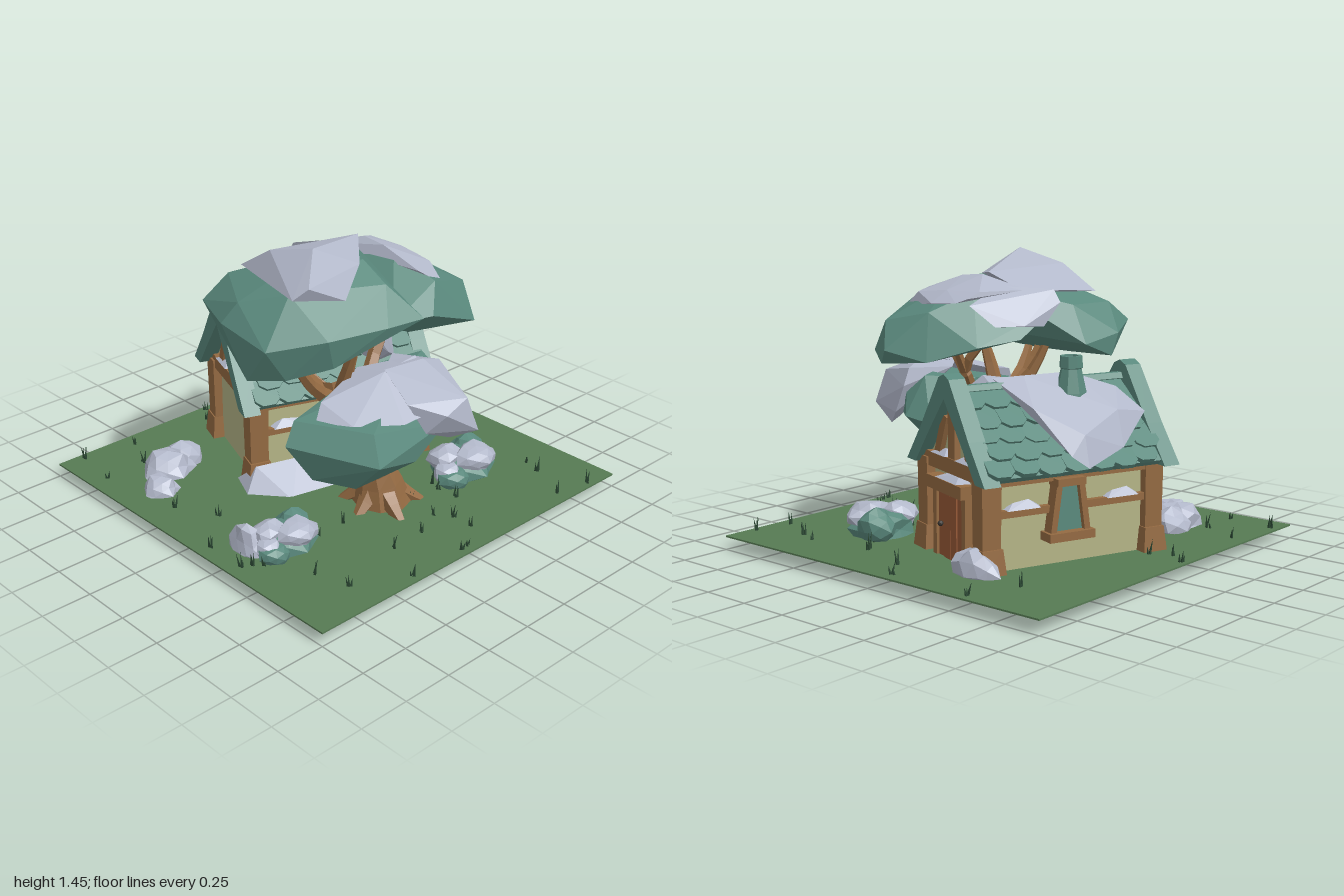
import * as THREE from 'three';
import { ConvexGeometry } from 'three/addons/geometries/ConvexGeometry.js';

const mat = (name, color) => Object.assign(new THREE.MeshStandardMaterial({ color }), { name });
const M = {
  grass: mat('meadow', 0x567a53), blade: mat('dark grass', 0x2a4632), leaf: mat('teal green', 0x5a897d),
  snow: mat('snow', 0xb3b9cb), wood: mat('timber', 0x946a42), door: mat('red brown door', 0x965836),
  wall: mat('plaster', 0xb4b486), iron: mat('dark iron', 0x3a3632),
};
const V = (p) => new THREE.Vector3(...p);
const shape = (pts) => new THREE.Shape(pts.map((p) => new THREE.Vector2(...p)));
const extrude = (pts, depth) => new THREE.ExtrudeGeometry(shape(pts), { depth, bevelEnabled: false });
let seed = 7;
const rnd = () => (seed = (seed * 16807) % 2147483647) / 2147483647;

// adds a faceted mesh
function add(parent, name, geo, material, pos = [0, 0, 0], rot = [0, 0, 0]) {
  const g = geo.index ? geo.toNonIndexed() : geo;
  g.computeVertexNormals();
  const m = new THREE.Mesh(g, material);
  m.name = name;
  m.position.set(...pos);
  m.rotation.set(...rot);
  parent.add(m);
}
const box = (parent, name, material, size, pos, rot) =>
  add(parent, name, new THREE.BoxGeometry(...size), material, pos, rot);
const hull = (parent, name, material, pts) => add(parent, name, new ConvexGeometry(pts.map(V)), material);

// square tapered block
function taper(parent, name, material, top, bottom, h, pos) {
  const g = new THREE.CylinderGeometry(top * 0.707, bottom * 0.707, h, 4);
  g.rotateY(Math.PI / 4);
  add(parent, name, g, material, pos);
}
// irregular rounded lump, flat where it meets the ground
function lump(parent, name, material, pos, size) {
  const g = new THREE.IcosahedronGeometry(1, 1), p = g.attributes.position;
  for (let i = 0; i < p.count; i++) {
    const v = new THREE.Vector3().fromBufferAttribute(p, i);
    const k = 1 + 0.14 * Math.sin(Math.round(v.x * 50) + Math.round(v.y * 50) * 1.7 + Math.round(v.z * 50) * 2.3 + pos[0] * 40);
    p.setXYZ(i, v.x * k * size[0], Math.max(v.y * k * size[1], -pos[1]), v.z * k * size[2]);
  }
  add(parent, name, g, material, pos);
}
// tube whose radius runs from r0 to r1
function limb(parent, name, pts, r0, r1, sides = 6, flare = 0) {
  const curve = new THREE.CatmullRomCurve3(pts.map(V)), seg = pts.length * 2;
  const g = new THREE.TubeGeometry(curve, seg, 1, sides), p = g.attributes.position;
  for (let i = 0; i <= seg; i++) {
    const t = i / seg, c = curve.getPointAt(t), r = r0 + (r1 - r0) * t + flare * Math.max(0, 1 - t * 4);
    for (let j = 0; j <= sides; j++) {
      const k = i * (sides + 1) + j, v = new THREE.Vector3().fromBufferAttribute(p, k).sub(c).multiplyScalar(r).add(c);
      p.setXYZ(k, v.x, v.y, v.z);
    }
  }
  add(parent, name, g, M.wood);
}

function createHouse() {
  const h = new THREE.Group();
  h.name = 'house';
  // walls with gables
  const wall = extrude([[-0.28, 0.06], [0.28, 0.06], [0.28, 0.56], [0, 0.82], [-0.28, 0.56]], 0.88);
  wall.translate(0, 0, -0.44);
  wall.rotateY(Math.PI / 2);
  add(h, 'walls', wall, M.wall);

  for (const e of [-1, 1]) {
    // corner posts with wide feet
    for (const z of [-1, 1]) {
      taper(h, 'cornerPost', M.wood, 0.1, 0.09, 0.45, [0.435 * e, 0.295, 0.275 * z]);
      taper(h, 'postFoot', M.wood, 0.105, 0.13, 0.12, [0.435 * e, 0.13, 0.28 * z]);
    }
    // gable timbers
    box(h, 'gableBeam', M.wood, [0.07, 0.07, 0.62], [0.44 * e, 0.515, 0]);
    box(h, 'kingPost', M.wood, [0.06, 0.3, 0.065], [0.44 * e, 0.68, 0]);
    for (const z of [-1, 1]) {
      box(h, 'gableBrace', M.wood, [0.05, 0.24, 0.05], [0.44 * e, 0.63, 0.125 * z], [-0.4 * z, 0, 0]);
      hull(h, 'beamSnow', M.snow, [[0.4, 0.55, 0.05], [0.48, 0.55, 0.05], [0.4, 0.55, 0.2], [0.48, 0.55, 0.2], [0.44, 0.58, 0.1], [0.44, 0.57, 0.16]]
        .map(([x, y, w]) => [x * e, y, w * z]));
    }
    // gable trim
    const trim = extrude([[0, 0.945], [0.05, 0.925], [0.24, 0.67], [0.39, 0.49], [0.3, 0.49], [0.18, 0.63], [0, 0.83],
      [-0.18, 0.63], [-0.3, 0.49], [-0.39, 0.49], [-0.24, 0.67], [-0.05, 0.925]], 0.085);
    trim.translate(0, 0, -0.0425);
    trim.rotateY(Math.PI / 2);
    add(h, 'gableTrim', trim, M.leaf, [e > 0 ? 0.465 : -0.49, 0, 0]);
  }

  for (const z of [-1, 1]) {
    // long wall timbers
    box(h, 'wallPlate', M.wood, [0.86, 0.06, 0.06], [0, 0.5, 0.29 * z]);
    box(h, 'wallRail', M.wood, [0.86, 0.035, 0.04], [0, 0.34, 0.29 * z]);
    for (const x of [-0.27, 0.26])
      hull(h, 'railSnow', M.snow, [[-0.1, 0, -0.02], [0.1, 0, -0.02], [-0.08, 0, 0.03], [0.09, 0, 0.03], [-0.03, 0.04, 0], [0.05, 0.03, 0]]
        .map((p) => [p[0] + x, p[1] + 0.355, (p[2] + 0.29) * z]));
    // tapered window
    const win = new THREE.Group();
    win.name = 'window';
    win.position.set(0.04, 0, 0.29 * z);
    if (z < 0) win.rotation.y = Math.PI;
    h.add(win);
    add(win, 'windowPane', extrude([[-0.08, 0.22], [0.08, 0.22], [0.05, 0.46], [-0.05, 0.46]], 0.035), M.leaf);
    for (const x of [-1, 1]) box(win, 'windowJamb', M.wood, [0.03, 0.26, 0.06], [0.075 * x, 0.34, 0.03], [0, 0, 0.14 * x]);
    box(win, 'windowSill', M.wood, [0.24, 0.04, 0.09], [0, 0.215, 0.035]);
    box(win, 'windowHead', M.wood, [0.15, 0.035, 0.08], [0, 0.465, 0.03]);

    // roof slope: base slab and overlapping shingles with clipped corners
    const slope = new THREE.Group();
    slope.name = 'roofSlope';
    slope.position.set(0, 0.86, 0);
    slope.rotation.set(0.76, 0, 0);
    const side = new THREE.Group();
    side.name = 'roofSide';
    if (z < 0) side.rotation.y = Math.PI;
    side.add(slope);
    h.add(side);
    box(slope, 'roofSlab', M.leaf, [0.92, 0.03, 0.5], [0, -0.015, 0.25]);
    for (let r = 0; r < 5; r++)
      for (let i = 0; i < 7; i++) {
        const w = 0.065, l = 0.135 + rnd() * 0.025;
        const g = extrude([[-w, 0], [w, 0], [w, l - 0.03], [w * 0.5, l], [-w * 0.5, l], [-w, l - 0.03]], 0.022);
        g.rotateX(Math.PI / 2);
        add(slope, 'shingle', g, M.leaf, [-0.385 + i * 0.128 + (r % 2 ? 0.02 : -0.015), 0.012, r * 0.095 - 0.01],
          [-0.1 - rnd() * 0.05, (rnd() - 0.5) * 0.1, 0]);
      }
  }
  add(h, 'ridgeCap', new THREE.CylinderGeometry(0.03, 0.03, 0.92, 6), M.leaf, [0, 0.86, 0], [0, 0, Math.PI / 2]);

  // door with planks, frame and knob
  for (let i = 0; i < 4; i++)
    box(h, 'doorPlank', M.door, [0.035 + (i % 3 ? 0.012 : 0), 0.34, 0.06], [0.455, 0.235, -0.094 + i * 0.0625]);
  for (const z of [-1, 1]) box(h, 'doorJamb', M.wood, [0.06, 0.35, 0.035], [0.455, 0.24, 0.143 * z]);
  box(h, 'doorLintel', M.wood, [0.1, 0.06, 0.35], [0.465, 0.425, 0]);
  hull(h, 'lintelSnow', M.snow, [[0.42, 0.455, -0.14], [0.51, 0.455, -0.12], [0.42, 0.455, 0.1], [0.51, 0.455, 0.09], [0.46, 0.485, -0.06], [0.46, 0.475, 0.05]]);
  add(h, 'doorKnob', new THREE.IcosahedronGeometry(0.014, 1), M.iron, [0.485, 0.23, 0.085]);

  // hollow chimney
  const profile = [[0.1, 0.68], [0.075, 0.83], [0.05, 0.94], [0.056, 0.945], [0.054, 1.0], [0.035, 1.0], [0.033, 0.93], [0, 0.93]];
  add(h, 'chimney', new THREE.LatheGeometry(profile.map((p) => new THREE.Vector2(...p)), 8), M.leaf, [-0.11, 0, -0.1]);

  // snow on the roof, given as length, depth and thickness
  const onRoof = ([x, z, t]) => [x, 0.88 - 0.93 * Math.abs(z) + t, z];
  hull(h, 'roofSnow', M.snow, [[-0.46, -0.2, 0.03], [-0.25, -0.34, 0.03], [-0.02, -0.41, 0.03], [0.06, -0.39, 0.07], [-0.02, -0.37, 0.14], [-0.26, -0.27, 0.13],
    [0.15, -0.2, 0.09], [0.24, 0.03, 0.05], [0.1, -0.02, 0.05], [-0.15, -0.02, 0.05], [-0.19, 0.16, 0.04], [0.0, 0.12, 0.05], [-0.36, -0.1, 0.05]].map(onRoof));
  h.position.set(0.15, 0, -0.3);
  h.rotation.y = -0.349;
  return h;
}

function createTree() {
  const t = new THREE.Group();
  t.name = 'tree';
  limb(t, 'trunk', [[-0.03, 0.06, 0.37], [-0.055, 0.22, 0.37], [-0.12, 0.38, 0.35], [-0.2, 0.5, 0.32], [-0.25, 0.64, 0.3], [-0.27, 0.78, 0.28]], 0.105, 0.06, 8, 0.05);
  for (const [x, z] of [[-0.22, 0.4], [0.12, 0.5], [-0.1, 0.58], [0.15, 0.34], [-0.16, 0.22], [0.04, 0.2]])
    limb(t, 'root', [[-0.05, 0.2, 0.37], [(x - 0.05) / 2, 0.12, (z + 0.37) / 2], [x, 0.055, z]], 0.07, 0.025, 5);
  limb(t, 'lowerBranch', [[-0.1, 0.36, 0.36], [-0.2, 0.44, 0.42], [-0.34, 0.52, 0.5]], 0.08, 0.045);
  for (const end of [[-0.6, 1.02, 0.36], [-0.42, 1.04, 0.08], [-0.22, 1.08, 0.42], [-0.5, 1.02, 0.2], [-0.3, 1.02, 0.47]])
    limb(t, 'upperBranch', [[-0.24, 0.64, 0.3], [(end[0] - 0.28) / 2, 0.8, (end[2] + 0.28) / 2], end], 0.045, 0.016, 5);
  for (const end of [[0.1, 1.08, 0.04], [0.24, 1.05, 0.18], [0.15, 1.08, 0.36]])
    limb(t, 'sideBranch', [[-0.16, 0.48, 0.32], [0.05, 0.75, 0.22], [0.13, 0.88, 0.2], end], 0.05, 0.015, 5);

  // upper crown: two lobes and their snow
  hull(t, 'crownLeft', M.leaf, [[-0.72, 0.88, 0.2], [-0.62, 0.9, 0.35], [-0.45, 0.95, 0.48], [-0.2, 1.02, 0.45], [-0.33, 0.95, -0.36], [-0.5, 0.95, -0.15],
    [-0.74, 1.12, 0.05], [-0.72, 1.06, 0.33], [-0.5, 1.1, 0.5], [-0.2, 1.1, 0.57], [0, 1.1, 0.6], [-0.6, 1.1, -0.26], [-0.37, 1.06, -0.37], [-0.15, 1.02, -0.34],
    [-0.68, 1.22, 0.1], [-0.55, 1.28, 0.3], [-0.45, 1.2, -0.25], [-0.2, 1.2, -0.22], [-0.25, 1.34, 0.1], [-0.1, 1.33, 0.3], [0.05, 1.3, 0.1], [-0.1, 1.25, 0.45]]);
  hull(t, 'crownRight', M.leaf, [[-0.1, 1.02, 0.1], [0, 1, 0.5], [0.05, 1.1, 0.61], [0.38, 0.97, 0.57], [0.5, 0.93, 0.4], [0.53, 1, 0.35], [0.45, 0.95, 0.15],
    [0.3, 1.02, -0.04], [0.1, 1.05, -0.14], [-0.12, 1.2, -0.18], [0.17, 1.27, 0.1], [0.1, 1.31, 0.3], [0.38, 1.18, 0.2], [0.42, 1.13, 0.45], [0.15, 1.22, 0.52], [-0.15, 1.1, 0.55]]);
  hull(t, 'crownSnow', M.snow, [[-0.62, 1.3, 0.4], [-0.56, 1.35, 0.44], [-0.39, 1.45, 0.28], [-0.2, 1.41, 0.2], [-0.42, 1.38, 0.02], [-0.42, 1.25, -0.19],
    [-0.2, 1.27, -0.17], [0.02, 1.27, -0.1], [0.06, 1.36, 0.1], [-0.35, 1.24, 0.45], [-0.15, 1.33, 0.33], [-0.5, 1.24, 0.2]]);
  hull(t, 'crownSnowArm', M.snow, [[0, 1.28, -0.1], [0.3, 1.25, 0.02], [0.34, 1.23, 0.06], [0.34, 1.22, 0.22], [0.22, 1.18, 0.51], [0.09, 1.27, 0.47],
    [0.08, 1.35, 0.12], [0.25, 1.28, 0.2], [0.08, 1.34, 0.25], [0.24, 1.26, 0.4], [0.24, 1.28, 0]]);
  hull(t, 'crownSnowBack', M.snow, [[-0.1, 1.28, -0.18], [0, 1.11, -0.2], [0.12, 1.12, -0.18], [0.24, 1.12, -0.1], [0.31, 1.22, 0], [0.1, 1.3, 0], [-0.1, 1.22, -0.22]]);

  // lower crown and its snow
  hull(t, 'lowCrown', M.leaf, [[-0.69, 0.62, 0.42], [-0.62, 0.72, 0.4], [-0.6, 0.45, 0.5], [-0.5, 0.44, 0.68], [-0.5, 0.6, 0.83], [-0.45, 0.72, 0.74],
    [-0.2, 0.43, 0.62], [-0.2, 0.5, 0.76], [-0.35, 0.48, 0.35], [-0.1, 0.48, 0.3], [0.06, 0.47, 0.5], [0.04, 0.6, 0.72], [0.26, 0.63, 0.48], [0.22, 0.6, 0.35],
    [0.17, 0.83, 0.43], [0.2, 0.74, 0.53], [-0.1, 0.8, 0.33], [-0.4, 0.76, 0.4], [-0.1, 0.84, 0.55]]);
  hull(t, 'lowSnowLobe', M.snow, [[-0.18, 0.65, 0.8], [-0.13, 0.75, 0.88], [0, 0.56, 0.78], [0.05, 0.63, 0.91], [0, 0.8, 0.88], [0.12, 0.55, 0.72],
    [0.17, 0.62, 0.64], [0.17, 0.76, 0.58], [0.13, 0.85, 0.58], [0, 0.9, 0.6], [-0.2, 0.89, 0.55], [-0.25, 0.8, 0.75], [0, 0.86, 0.4]]);
  hull(t, 'lowSnowSheet', M.snow, [[-0.56, 0.72, 0.48], [-0.5, 0.79, 0.45], [-0.48, 0.73, 0.64], [-0.3, 0.73, 0.78], [-0.2, 0.88, 0.55],
    [-0.2, 0.84, 0.37], [0, 0.9, 0.55], [-0.1, 0.75, 0.8]]);
  return t;
}

export function createModel() {
  const root = new THREE.Group();
  root.name = 'snowyCottage';
  box(root, 'ground', M.grass, [2, 0.008, 2], [0, 0.069, 0]);
  root.add(createHouse(), createTree());

  // snow slipping off the roof and drifts along the wall
  hull(root, 'eaveSnow', M.snow, [[0.24, 0.58, 0], [0.37, 0.62, 0.05], [0.4, 0.7, 0], [0.3, 0.77, -0.04], [0.24, 0.78, 0.13], [0.16, 0.87, 0.05],
    [0.1, 0.86, -0.06], [0.24, 0.7, 0.14], [0.3, 0.86, -0.12], [0.34, 0.8, -0.14]]);
  hull(root, 'snowDrift', M.snow, [[-0.5, 0.06, -0.1], [-0.35, 0.06, 0.08], [0, 0.06, 0.16], [0.05, 0.06, -0.05], [-0.4, 0.18, -0.14], [-0.2, 0.19, -0.06], [-0.42, 0.06, -0.28], [-0.1, 0.12, 0]]);
  hull(root, 'wallDrift', M.snow, [[-0.02, 0.05, 0.05], [0.12, 0.02, 0.2], [0.45, 0.002, 0.12], [0.46, 0.05, 0.1], [0.3, 0.1, 0.08], [0.12, 0.1, 0], [0.1, 0.03, -0.12], [0.3, 0.09, 0.2]]);

  // bushes capped with snow
  for (const [x, z, k] of [[0.46, 0.46, 1], [-0.66, 0.38, 0.9]]) {
    const b = new THREE.Group();
    b.name = 'bush';
    b.position.set(x, 0.07, z);
    b.scale.setScalar(k);
    root.add(b);
    lump(b, 'bushLeaves', M.leaf, [0, 0.04, 0], [0.16, 0.09, 0.15]);
    lump(b, 'bushLeaves', M.leaf, [0.1, 0.05, -0.07], [0.09, 0.1, 0.09]);
    lump(b, 'bushLeaves', M.leaf, [-0.12, 0.03, 0.05], [0.09, 0.07, 0.09]);
    lump(b, 'bushSnow', M.snow, [0.03, 0.1, 0.06], [0.12, 0.07, 0.1]);
    lump(b, 'bushSnow', M.snow, [-0.08, 0.09, -0.05], [0.09, 0.07, 0.09]);
    lump(b, 'bushSnow', M.snow, [-0.13, 0.05, 0.02], [0.07, 0.07, 0.08]);
  }
  // snowy mounds
  const mounds = new THREE.Group();
  mounds.name = 'snowMounds';
  mounds.position.y = 0.07;
  root.add(mounds);
  for (const [x, z, rx, ry, rz] of [[-0.63, -0.56, 0.14, 0.11, 0.11], [-0.52, -0.6, 0.11, 0.1, 0.09], [-0.78, -0.42, 0.09, 0.08, 0.085],
    [0.7, -0.39, 0.08, 0.12, 0.13], [-0.81, 0.28, 0.06, 0.12, 0.1]])
    lump(mounds, 'snowMound', M.snow, [x, 0.01, z], [rx, ry, rz]);

  // grass tufts
  for (let i = 0; i < 70; i++) {
    const x = rnd() * 1.94 - 0.97, z = rnd() * 1.94 - 0.97;
    if (Math.abs(x) < 0.65 && Math.abs(z + 0.2) < 0.55) continue;
    for (let j = 0; j < 3; j++) {
      const h = 0.03 + rnd() * 0.055;
      add(root, 'grassBlade', new THREE.ConeGeometry(0.008, h, 3), M.blade,
        [x + (j - 1) * 0.01, 0.07 + h / 2, z + (rnd() - 0.5) * 0.02], [(rnd() - 0.5) * 0.4, 0, (1 - j) * 0.2]);
    }
  }
  return root;
}
